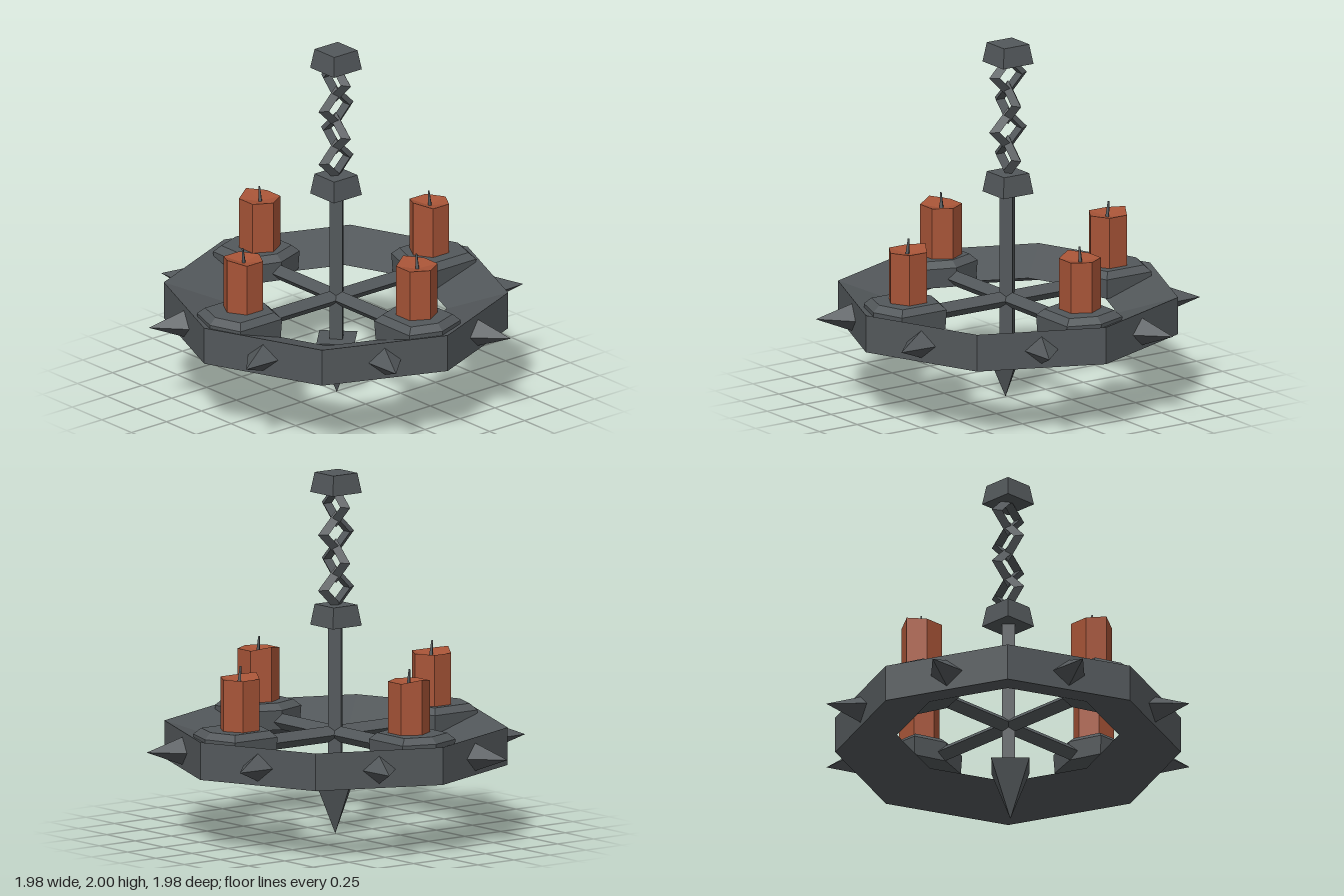
import * as THREE from 'three';

export function createModel() {
  const iron = new THREE.MeshStandardMaterial({ color: 0x53585b, flatShading: true });
  iron.name = 'dark iron';
  const wax = new THREE.MeshStandardMaterial({ color: 0xa75437, flatShading: true });
  wax.name = 'orange wax';

  const model = new THREE.Group();
  model.name = 'chandelier';

  const add = (parent, name, geometry, material, x = 0, y = 0, z = 0) => {
    const mesh = new THREE.Mesh(geometry, material);
    mesh.name = name;
    mesh.position.set(x, y, z);
    parent.add(mesh);
    return mesh;
  };
  const lathe = (points, sides) =>
    new THREE.LatheGeometry(points.map(([r, y]) => new THREE.Vector2(r, y)), sides);

  // Octagonal ring of wedge section: upright outside, sharp edge inside
  add(model, 'ring', lathe([[0.605, 0.503], [0.942, 0.4], [0.942, 0.608], [0.605, 0.503]], 8), iron);

  // One spike in the middle of each ring side
  const spikeGeo = new THREE.ConeGeometry(0.08, 0.21, 4)
    .rotateX(Math.PI / 2).scale(1.2, 1, 1).translate(0, 0.5, 0.967);
  for (let i = 0; i < 8; i++) {
    add(model, 'spike', spikeGeo, iron).rotation.y = (i + 0.5) * Math.PI / 4;
  }

  // Central post with a pointed finial below
  add(model, 'post', new THREE.CylinderGeometry(0.05, 0.05, 0.88, 4), iron, 0.005, 0.75, 0);
  add(model, 'finial', new THREE.CylinderGeometry(0.147, 0, 0.32, 4), iron, 0.013, 0.16, 0.005);

  // Crossed bars joining post and ring
  const barGeo = new THREE.CylinderGeometry(0.045, 0.045, 1.24, 4).rotateX(Math.PI / 2);
  for (let i = 0; i < 2; i++) {
    add(model, 'spoke', barGeo, iron, 0.005, 0.555, 0).rotation.y = i * Math.PI / 2;
  }

  // Tapered blocks at both ends of the chain
  const block = (name, top, bottom, y0, y1) => add(model, name,
    new THREE.CylinderGeometry(top * Math.SQRT2, bottom * Math.SQRT2, y1 - y0, 4)
      .rotateY(Math.PI / 4), iron, 0, (y0 + y1) / 2, 0);
  block('postCap', 0.083, 0.1, 1.155, 1.27);
  block('ceilingMount', 0.083, 0.1, 1.89, 2);

  // Four diamond links of three-sided bar, each turned a quarter from the last
  const linkGeo = new THREE.TorusGeometry(0.091, 0.034, 3, 4);
  for (let i = 0; i < 4; i++) {
    add(model, 'chainLink', linkGeo, iron, 0, 1.82 - i * 0.154, 0).rotation.y = i * Math.PI / 2;
  }

  // Six-sided tray with a bevelled rim, its shoulders pushed out to a boxy outline
  const trayGeo = lathe([[0, 0.51], [0.205, 0.51], [0.212, 0.618], [0.172, 0.653], [0, 0.653]], 6);
  const t = trayGeo.attributes.position;
  for (let i = 0; i < t.count; i++) {
    if (Math.abs(t.getX(i)) > 0.01) t.setZ(i, t.getZ(i) * 1.4);
  }

  // Six-sided candle with one raised corner and a dished top
  const candleGeo = new THREE.CylinderGeometry(0.115, 0.115, 0.29, 6).translate(0, 0.793, 0);
  const p = candleGeo.attributes.position;
  for (let i = 0; i < p.count; i++) {
    if (p.getY(i) < 0.8) continue;
    if (p.getZ(i) > 0.1) p.setY(i, 0.958);
    else if (Math.hypot(p.getX(i), p.getZ(i)) < 0.01) p.setY(i, 0.915);
  }

  // Wick leaning slightly towards the raised corner
  const wickGeo = new THREE.CylinderGeometry(0.006, 0.013, 0.09, 4)
    .rotateX(0.1).translate(0, 0.957, 0);

  // Candle holders: front and back upright, left and right turned a quarter
  const holders = [
    { x: 0.007, z: 0.695, cx: -0.01, cz: 0.655, turn: 0 },
    { x: 0.007, z: -0.693, cx: -0.01, cz: -0.675, turn: 0 },
    { x: 0.683, z: -0.003, cx: 0.67, cz: -0.01, turn: -Math.PI / 2 },
    { x: -0.675, z: -0.003, cx: -0.655, cz: -0.01, turn: -Math.PI / 2 },
  ];
  for (const h of holders) {
    const holder = new THREE.Group();
    holder.name = 'candleHolder';
    add(holder, 'tray', trayGeo, iron, h.x, 0, h.z).rotation.y = h.turn;
    add(holder, 'candle', candleGeo, wax, h.cx, 0, h.cz).rotation.y = h.turn;
    add(holder, 'wick', wickGeo, iron, h.cx, 0, h.cz).rotation.y = h.turn;
    model.add(holder);
  }

  return model;
}
